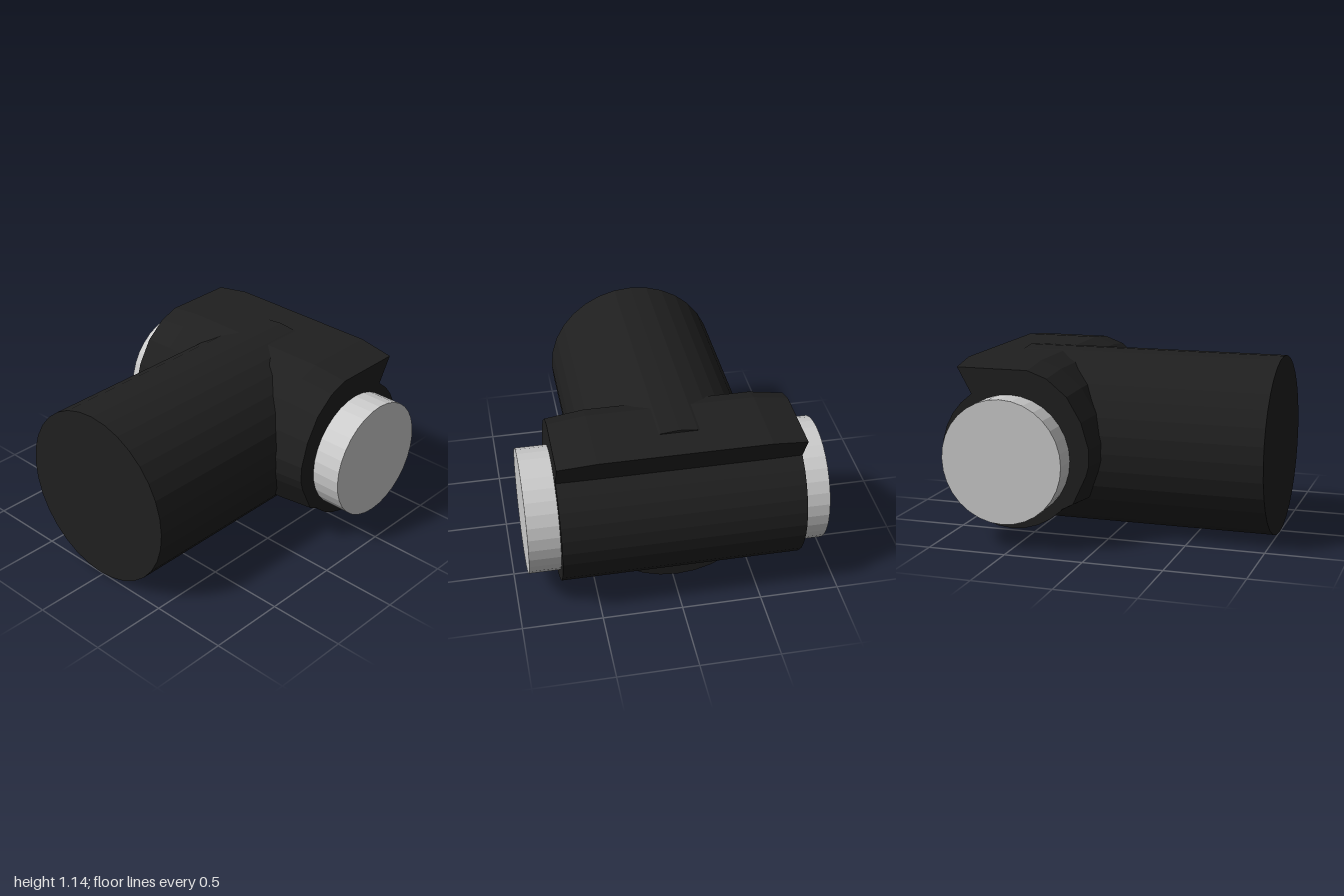
import * as THREE from 'three';
import { ConvexGeometry } from 'three/addons/geometries/ConvexGeometry.js';

const dark = new THREE.MeshStandardMaterial({ color: 0x1f1f1f, flatShading: true });
const grey = new THREE.MeshStandardMaterial({ color: 0xcccccc, flatShading: true });

const AXIS_Y = 0.555, AXIS_Z = -0.545; // axis of the cross tube

function part(name, geometry, material) {
  const mesh = new THREE.Mesh(geometry, material);
  mesh.name = name;
  return mesh;
}

// Closed cylinder lying along x between x0 and x1, on the cross axis
function crossCylinder(name, radius, x0, x1, material) {
  const geometry = new THREE.CylinderGeometry(radius, radius, x1 - x0, 32);
  geometry.rotateZ(Math.PI / 2);
  geometry.translate((x0 + x1) / 2, AXIS_Y, AXIS_Z);
  return part(name, geometry, material);
}

// Hood wrapped over the front and top of the cross tube, tapering at its ends
function hoodGeometry() {
  const profile = [ // z, y
    [-0.905, 1.127], [-0.42, 1.127], [-0.29, 1.08], [-0.155, 0.97], [-0.06, 0.81],
    [-0.01, 0.64], [-0.01, 0.53], [-0.03, 0.46], [-0.12, 0.27], [-0.29, 0.18], [-0.797, 0.932],
  ];
  const sections = [[-0.765, 0.95], [-0.55, 1], [0.49, 1], [0.73, 0.95]]; // x, scale
  const points = [];
  for (const [x, s] of sections) {
    for (const [z, y] of profile) {
      points.push(new THREE.Vector3(x, AXIS_Y + (y - AXIS_Y) * s, AXIS_Z + (z - AXIS_Z) * s));
    }
  }
  return new ConvexGeometry(points);
}

export function createModel() {
  const group = new THREE.Group();
  group.name = 'teeFitting';

  // Large barrel running front to back
  const barrel = new THREE.CylinderGeometry(0.57, 0.57, 1.69, 32);
  barrel.rotateX(Math.PI / 2);
  barrel.translate(-0.03, 0.572, 0.155);
  group.add(part('mainBarrel', barrel, dark));

  // Cross tube, hood, and the pin that sticks out at both sides
  group.add(crossCylinder('crossTube', 0.455, -0.765, 0.73, dark));
  group.add(part('hood', hoodGeometry(), dark));
  group.add(crossCylinder('crossPin', 0.388, -0.925, 0.925, grey));

  return group;
}
